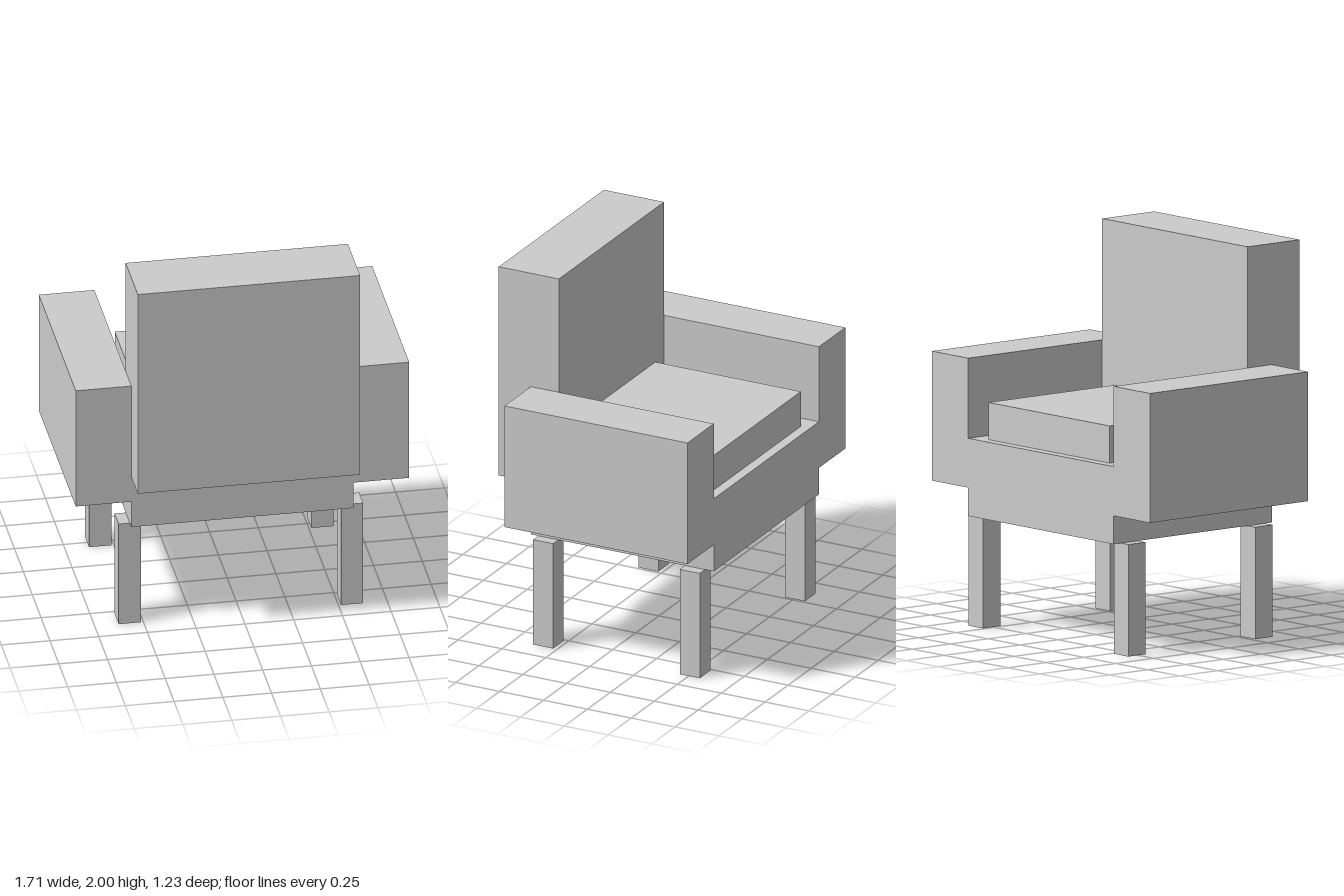
import * as THREE from 'three';

export function createModel() {
  const chair = new THREE.Group();
  chair.name = 'armchair';
  const material = new THREE.MeshStandardMaterial({ color: 0xcccccc, flatShading: true });

  // Adds a box spanning the given limits on each axis
  function block(name, [x0, x1], [y0, y1], [z0, z1]) {
    const mesh = new THREE.Mesh(new THREE.BoxGeometry(x1 - x0, y1 - y0, z1 - z0), material);
    mesh.position.set((x0 + x1) / 2, (y0 + y1) / 2, (z0 + z1) / 2);
    mesh.name = name;
    chair.add(mesh);
  }

  // Seat, cushion and backrest; the seat opens toward -z
  block('seatBase', [-0.57, 0.57], [0.573, 0.97], [-0.613, 0.43]);
  block('seatCushion', [-0.475, 0.475], [0.97, 1.16], [-0.56, 0.375]);
  block('backrest', [-0.57, 0.57], [0.86, 2], [0.27, 0.613]);

  // Armrests and legs, mirrored left and right
  for (const [side, s] of [['left', 1], ['right', -1]]) {
    const span = (a, b) => (s > 0 ? [a, b] : [-b, -a]);
    block(side + 'Armrest', span(0.57, 0.855), [0.718, 1.38], [-0.613, 0.43]);
    block(side + 'SeatEdgeLeg', span(0.513, 0.627), [0, 0.573], [-0.563, -0.449]);
    block(side + 'BackrestLeg', span(0.513, 0.627), [0, 0.573], [0.273, 0.387]);
  }
  return chair;
}
